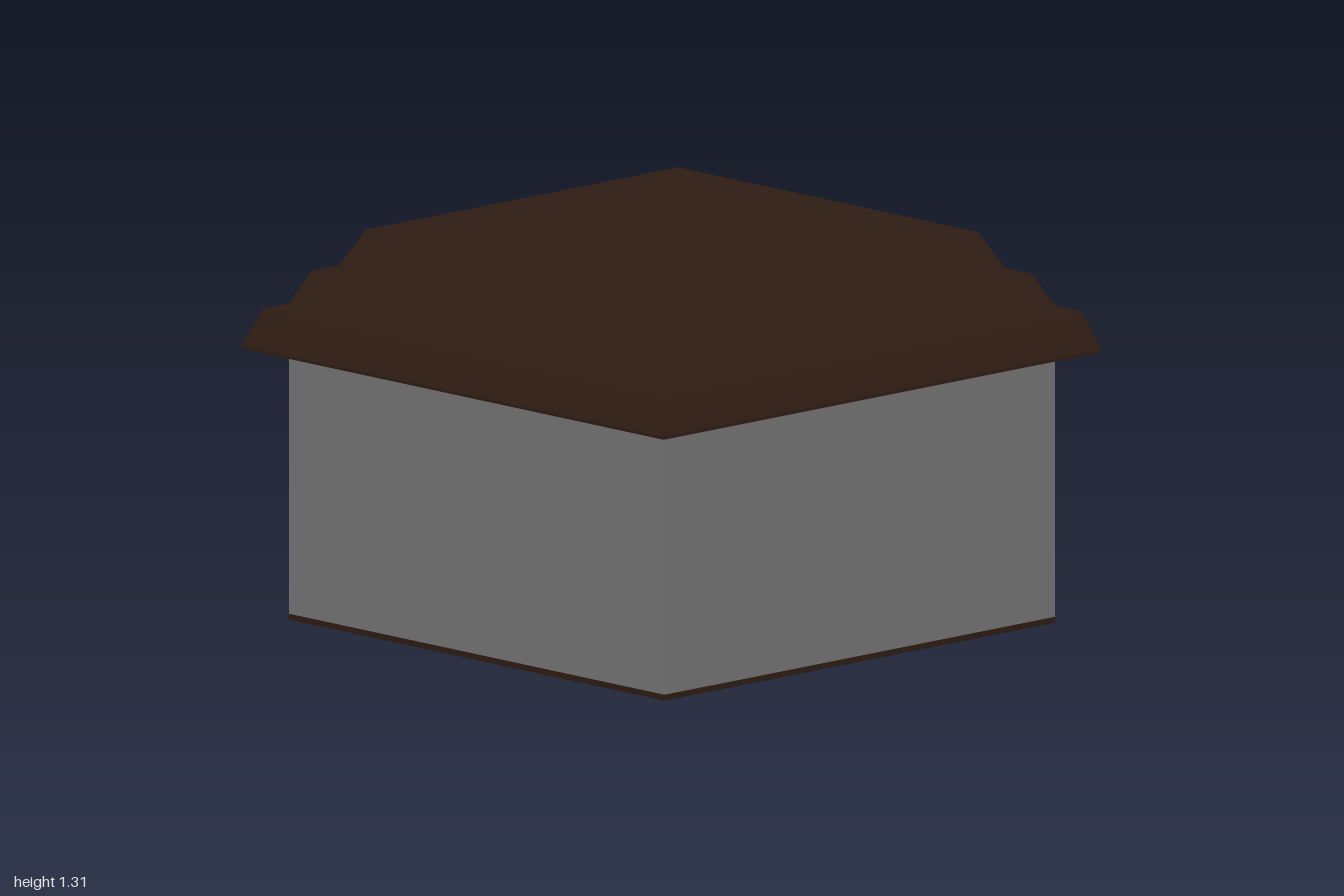
import * as THREE from 'three';

const brown = new THREE.MeshStandardMaterial({ color: 0x301d14, flatShading: true });
const wallGrey = new THREE.MeshStandardMaterial({ color: 0x7a7a7a });
const doorGrey = new THREE.MeshStandardMaterial({ color: 0xcccccc });
const handleGrey = new THREE.MeshStandardMaterial({ color: 0x808080 });

// Box given by its minimum and maximum on each axis
function box(name, material, [x0, x1], [y0, y1], [z0, z1]) {
  const mesh = new THREE.Mesh(new THREE.BoxGeometry(x1 - x0, y1 - y0, z1 - z0), material);
  mesh.position.set((x0 + x1) / 2, (y0 + y1) / 2, (z0 + z1) / 2);
  mesh.name = name;
  return mesh;
}

// Square tapered block, a four-sided cylinder turned to face the axes
function taperedBlock(name, bottomHalf, topHalf, y0, y1) {
  const geometry = new THREE.CylinderGeometry(topHalf * Math.SQRT2, bottomHalf * Math.SQRT2, y1 - y0, 4);
  geometry.rotateY(Math.PI / 4);
  const mesh = new THREE.Mesh(geometry, brown);
  mesh.position.y = (y0 + y1) / 2;
  mesh.name = name;
  return mesh;
}

// Door with two posts, a lintel and a pull handle, centred on x = 0
function createDoor(name) {
  const door = new THREE.Group();
  door.name = name;
  door.add(box('doorPanel', doorGrey, [-0.11, 0.11], [0.02, 0.41], [-0.897, -0.885]));
  for (const side of [-1, 1]) {
    const x = side * 0.13;
    door.add(box('doorPost', brown, [x - 0.024, x + 0.024], [0.02, 0.41], [-0.905, -0.885]));
  }
  door.add(box('lintel', brown, [-0.22, 0.22], [0.405, 0.46], [-0.907, -0.885]));
  door.add(box('handleBar', handleGrey, [-0.081, -0.067], [0.18, 0.255], [-0.925, -0.915]));
  for (const y of [0.2, 0.237]) {
    door.add(box('handleStub', handleGrey, [-0.079, -0.069], [y - 0.004, y + 0.004], [-0.916, -0.896]));
  }
  return door;
}

export function createModel() {
  const model = new THREE.Group();
  model.name = 'building';

  // Floor and walls
  model.add(box('floor', brown, [-0.89, 0.89], [0, 0.02], [-0.89, 0.89]));
  model.add(box('walls', wallGrey, [-0.89, 0.89], [0.02, 0.915], [-0.89, 0.89]));

  // Stepped roof on a thin eave
  model.add(box('eave', brown, [-1, 1], [0.91, 0.92], [-1, 1]));
  const tiers = [
    [1, 0.953, 0.92, 1.045],
    [0.9, 0.838, 1.045, 1.172],
    [0.783, 0.712, 1.172, 1.312],
  ];
  for (const tier of tiers) model.add(taperedBlock('roofTier', ...tier));

  // Pair of doors on the back wall
  const leftDoor = createDoor('leftDoor');
  leftDoor.position.x = 0.42;
  const rightDoor = createDoor('rightDoor');
  rightDoor.position.x = -0.445;
  model.add(leftDoor, rightDoor);

  // Blank sign board standing just off the back wall
  model.add(box('signBoard', wallGrey, [-0.555, 0.54], [0.52, 0.875], [-0.912, -0.897]));

  return model;
}
